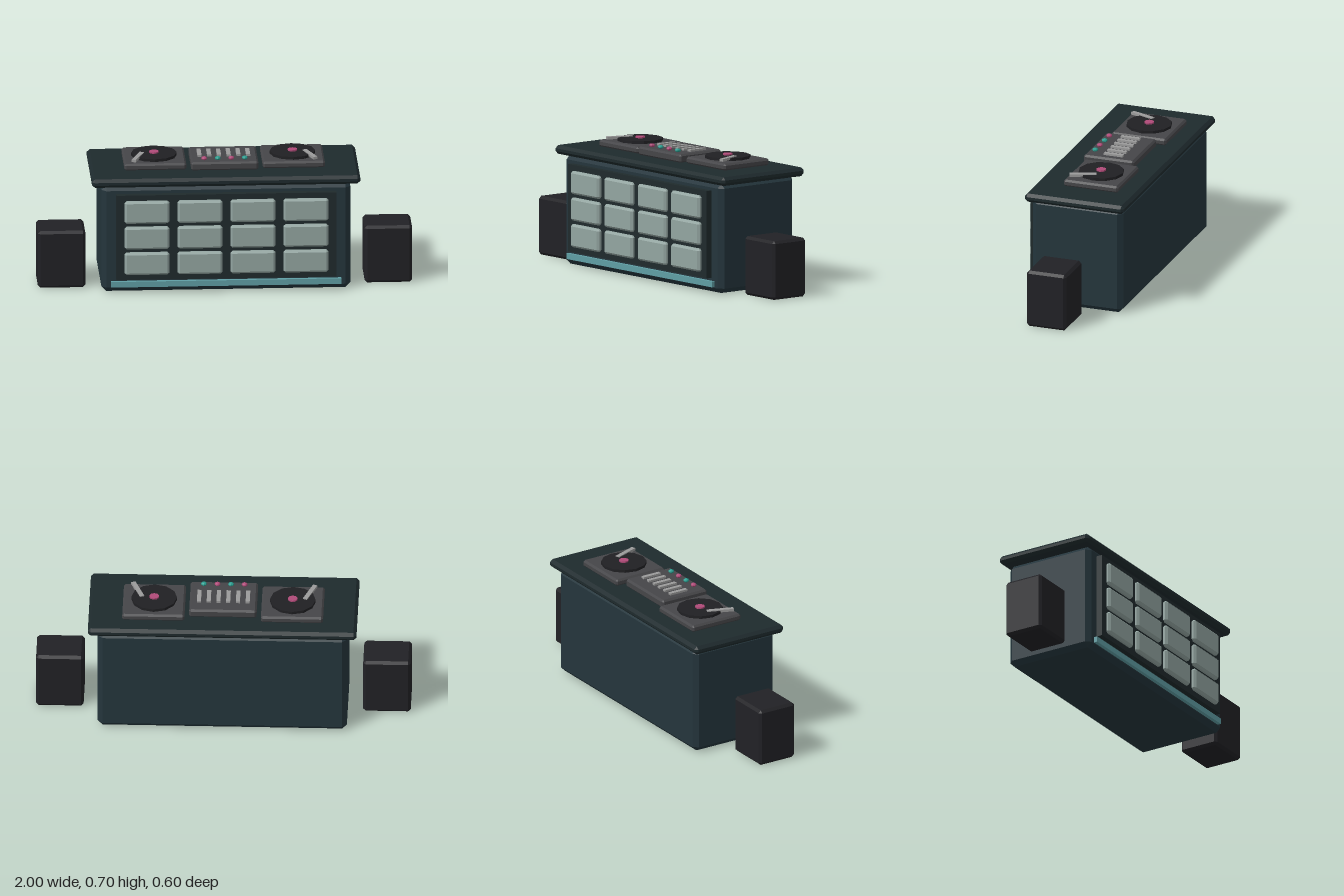
import * as THREE from 'three';
import { ConvexGeometry } from 'three/addons/geometries/ConvexGeometry.js';

const mat = (color) => new THREE.MeshStandardMaterial({ color, flatShading: true });

// Box with every edge cut by a bevel of size c
function bevelBox(w, h, d, c) {
  const pts = [];
  for (const sx of [-1, 1]) for (const sy of [-1, 1]) for (const sz of [-1, 1]) {
    for (let k = 0; k < 3; k++) {
      const inset = [c, c, c];
      inset[k] = 0;
      pts.push(new THREE.Vector3(
        sx * (w / 2 - inset[0]), sy * (h / 2 - inset[1]), sz * (d / 2 - inset[2])));
    }
  }
  return new ConvexGeometry(pts);
}

export function createModel() {
  const model = new THREE.Group();
  model.name = 'djBooth';
  const m = {
    body: mat(0x24353c), top: mat(0x1e2a2d), panel: mat(0x1f2a2c), tile: mat(0x93a5a1),
    strip: mat(0x5f9ea4), speaker: mat(0x212125), deck: mat(0x454548),
    platter: mat(0x202023), metal: mat(0x9a9a9a), pink: mat(0xb04a78), teal: mat(0x2a9d8f),
  };

  function add(parent, name, geometry, material, x = 0, y = 0, z = 0) {
    const mesh = new THREE.Mesh(geometry, material);
    mesh.name = name;
    mesh.position.set(x, y, z);
    parent.add(mesh);
    return mesh;
  }
  // Box given by its extents; c > 0 bevels the edges
  function box(parent, name, material, x0, x1, y0, y1, z0, z1, c = 0) {
    const w = x1 - x0, h = y1 - y0, d = z1 - z0;
    const g = c ? bevelBox(w, h, d, c) : new THREE.BoxGeometry(w, h, d);
    return add(parent, name, g, material, (x0 + x1) / 2, (y0 + y1) / 2, (z0 + z1) / 2);
  }

  // Counter
  box(model, 'counterBody', m.body, -0.665, 0.665, 0.005, 0.597, -0.27, 0.243, 0.026);
  box(model, 'counterTop', m.top, -0.717, 0.717, 0.594, 0.641, -0.298, 0.268, 0.016);
  box(model, 'frontPanel', m.panel, -0.588, 0.588, 0.083, 0.555, 0.235, 0.276);
  box(model, 'lightStrip', m.strip, -0.615, 0.615, 0.037, 0.068, 0.235, 0.263);

  // Grid of front light tiles
  const tiles = new THREE.Group();
  tiles.name = 'lightTiles';
  model.add(tiles);
  const tileGeometry = bevelBox(0.24, 0.124, 0.046, 0.011);
  for (let row = 0; row < 3; row++) {
    for (let col = 0; col < 4; col++) {
      add(tiles, 'lightTile', tileGeometry, m.tile, (col - 1.5) * 0.283, 0.176 + row * 0.1435, 0.276);
    }
  }

  for (const s of [-1, 1]) {
    // Speakers beside the counter
    const speaker = add(model, s > 0 ? 'leftSpeaker' : 'rightSpeaker',
      bevelBox(0.254, 0.317, 0.225, 0.014), m.speaker);
    speaker.position.set(s * 0.873, 0.161, 0.0375);

    // Turntable: base, platter, spindle label and tone arm
    const deck = new THREE.Group();
    deck.name = s > 0 ? 'leftTurntable' : 'rightTurntable';
    deck.position.set(s * 0.37, 0, -0.045);
    model.add(deck);
    box(deck, 'deckBase', m.deck, -0.166, 0.166, 0.639, 0.677, -0.155, 0.155, 0.01);
    add(deck, 'platter', new THREE.CylinderGeometry(0.122, 0.122, 0.018, 12), m.platter, 0, 0.683, 0);
    add(deck, 'recordLabel', new THREE.CylinderGeometry(0.026, 0.026, 0.01, 10), m.pink, 0, 0.695, 0);
    const arm = add(deck, 'toneArm', new THREE.BoxGeometry(0.024, 0.014, 0.145), m.metal,
      s * 0.09, 0.69, 0.07);
    arm.rotation.y = s * 0.36;
  }

  // Mixer with faders and knobs
  const mixer = new THREE.Group();
  mixer.name = 'mixer';
  model.add(mixer);
  box(mixer, 'mixerBase', m.deck, -0.18, 0.18, 0.639, 0.686, -0.158, 0.128, 0.01);
  for (let i = 0; i < 6; i++) {
    add(mixer, 'fader', new THREE.BoxGeometry(0.022, 0.016, 0.108), m.metal, (i - 2.5) * 0.052, 0.689, -0.028);
  }
  for (let i = 0; i < 4; i++) {
    const knob = add(mixer, 'knob', new THREE.SphereGeometry(0.016, 8, 6),
      i % 2 ? m.teal : m.pink, (i - 1.5) * 0.0725, 0.697, 0.086);
    knob.scale.y = 0.65;
  }
  return model;
}
